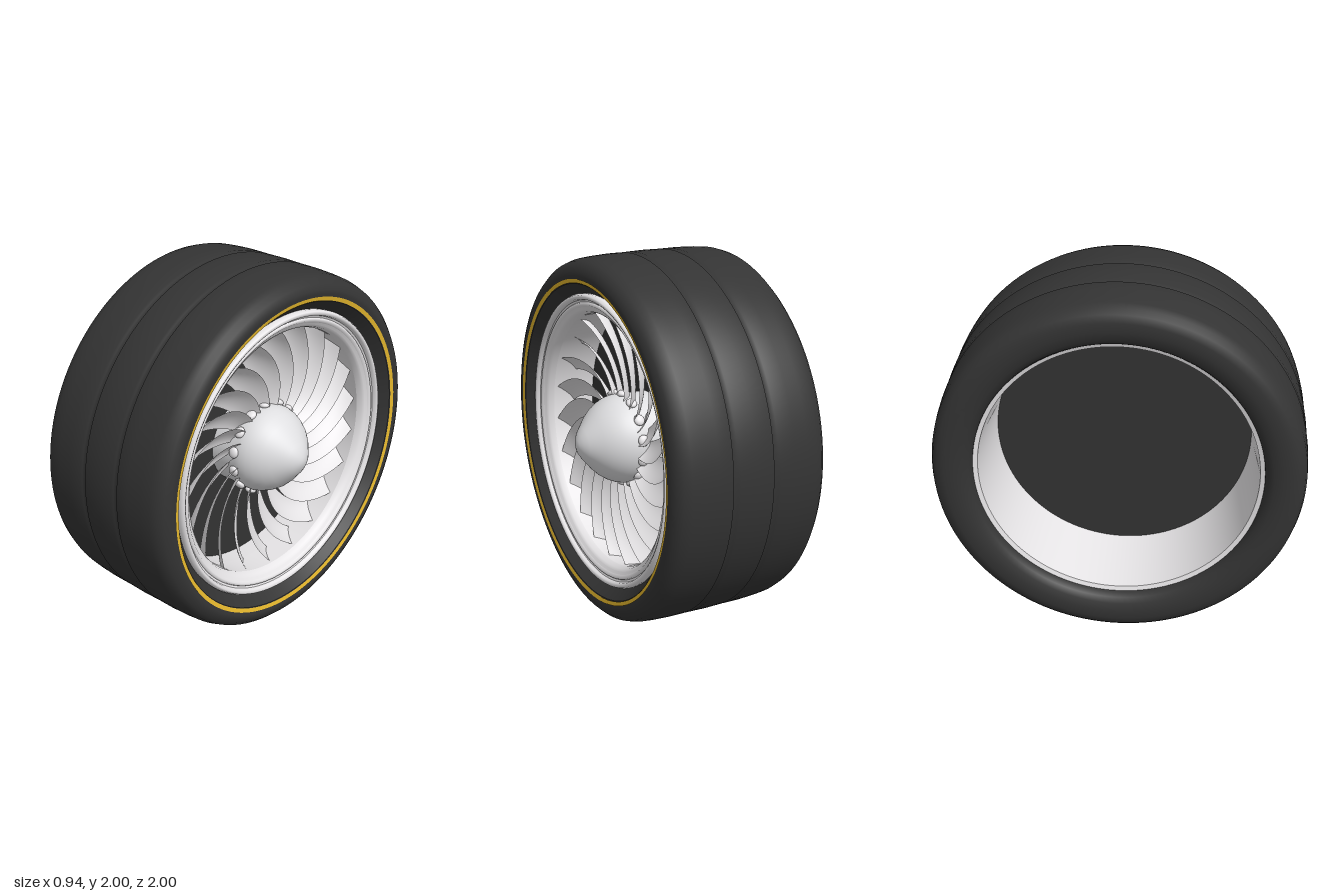
import * as THREE from 'three';

const rubber = new THREE.MeshStandardMaterial({ color: 0x343434 });
rubber.name = 'rubber';
const backing = new THREE.MeshStandardMaterial({ color: 0x333333, side: THREE.DoubleSide });
backing.name = 'dark backing';
const silver = new THREE.MeshStandardMaterial({ color: 0xeeecee, side: THREE.DoubleSide });
silver.name = 'silver';
const hubGrey = new THREE.MeshStandardMaterial({ color: 0xdedee0 });
hubGrey.name = 'hub grey';
const yellow = new THREE.MeshStandardMaterial({ color: 0xf0c030, side: THREE.DoubleSide });
yellow.name = 'yellow';

const BLADES = 22;
const KNOBS = 14;

// Revolves [radius, x] pairs about the x axis; a repeated pair makes a hard edge.
function revolve(name, profile, material) {
  const points = profile.map(([r, x]) => new THREE.Vector2(r, x));
  const geometry = new THREE.LatheGeometry(points, 128);
  geometry.rotateZ(-Math.PI / 2);
  const mesh = new THREE.Mesh(geometry, material);
  mesh.name = name;
  return mesh;
}

// Soft-shaded tread groove centred on x.
function groove(x) {
  return [[0.998, x - 0.02], [0.986, x - 0.015], [0.986, x + 0.015], [0.998, x + 0.02]];
}

// Swept, pitched and cambered blade surface.
function bladeGeometry() {
  const rows = 18, cols = 8;
  const positions = [], index = [];
  for (let i = 0; i <= rows; i++) {
    const s = i / rows;
    const r = 0.22 + 0.475 * s;
    const sweep = 0.46 * Math.pow(s, 1.35);
    const halfWidth = 0.035 + 0.027 * Math.sin(Math.PI * Math.pow(s, 0.85)) + 0.014 * s;
    const pitch = 0.037 + 0.018 * s;
    for (let j = 0; j <= cols; j++) {
      const u = (j / cols) * 2 - 1;
      const angle = sweep + (u * halfWidth) / r;
      const x = 0.185 + 0.03 * Math.pow(s, 1.4) - u * pitch - 0.014 * (1 - u * u);
      positions.push(x, r * Math.sin(angle), -r * Math.cos(angle));
      if (i < rows && j < cols) {
        const a = i * (cols + 1) + j, b = a + cols + 1;
        index.push(a, b, a + 1, a + 1, b, b + 1);
      }
    }
  }
  const geometry = new THREE.BufferGeometry();
  geometry.setAttribute('position', new THREE.Float32BufferAttribute(positions, 3));
  geometry.setIndex(index);
  geometry.computeVertexNormals();
  return geometry;
}

export function createModel() {
  const wheel = new THREE.Group();
  wheel.name = 'wheel';
  wheel.position.y = 1;

  // Tyre with rounded shoulders, two grooves and a recessed outer bead
  wheel.add(revolve('tyre', [
    [0.768, -0.38], [0.771, -0.41], [0.786, -0.438], [0.815, -0.458], [0.86, -0.469], [0.91, -0.468],
    [0.95, -0.455], [0.975, -0.43], [0.988, -0.39], [0.994, -0.33], [0.998, -0.25],
    ...groove(-0.15), [1, -0.035], ...groove(0.083),
    [0.998, 0.18], [0.994, 0.265], [0.988, 0.325], [0.975, 0.365], [0.95, 0.392],
    [0.92, 0.405], [0.9, 0.407], [0.86, 0.398], [0.86, 0.398], [0.83, 0.365],
    [0.8, 0.33], [0.78, 0.31],
  ], rubber));

  // Painted ring on the outer sidewall
  wheel.add(revolve('sidewallStripe', [[0.885, 0.4075], [0.863, 0.4025]], yellow));

  // Stepped outer rim lip
  wheel.add(revolve('rimLip', [
    [0.8, 0.31], [0.803, 0.35], [0.795, 0.367], [0.785, 0.37], [0.773, 0.363],
    [0.768, 0.345], [0.768, 0.345], [0.757, 0.34], [0.757, 0.34], [0.752, 0.348],
    [0.74, 0.348], [0.73, 0.338], [0.73, 0.338], [0.715, 0.328], [0.715, 0.328],
    [0.702, 0.318], [0.692, 0.29], [0.692, 0.29], [0.698, 0.14],
  ], silver));

  // Open barrel with a small inner flange
  wheel.add(revolve('barrel', [
    [0.698, 0.14], [0.705, 0.03], [0.745, -0.39], [0.745, -0.39],
    [0.77, -0.398], [0.77, -0.398], [0.775, -0.38],
  ], silver));

  // Dark plate closing the wheel behind the blades
  wheel.add(revolve('backingDisc', [[0.705, 0.035], [0, 0.035]], backing));

  // Domed spinner on a short hub
  wheel.add(revolve('spinner', [
    [0.24, 0.036], [0.24, 0.17], [0.243, 0.2], [0.242, 0.23], [0.233, 0.265], [0.216, 0.302],
    [0.19, 0.341], [0.155, 0.378], [0.12, 0.407], [0.09, 0.433], [0.06, 0.453],
    [0.03, 0.466], [0.01, 0.47], [0, 0.47],
  ], hubGrey));

  // Ring of fan blades
  const blades = new THREE.Group();
  blades.name = 'fanBlades';
  const geometry = bladeGeometry();
  for (let i = 0; i < BLADES; i++) {
    const blade = new THREE.Mesh(geometry, silver);
    blade.name = 'fanBlade';
    blade.rotation.x = (i / BLADES) * Math.PI * 2;
    blades.add(blade);
  }
  wheel.add(blades);

  // Small knobs around the spinner base
  const knobs = new THREE.Group();
  knobs.name = 'hubKnobs';
  const knobGeometry = new THREE.SphereGeometry(1, 14, 10);
  knobGeometry.scale(0.03, 0.018, 0.032);
  for (let i = 0; i < KNOBS; i++) {
    const angle = (i / KNOBS) * Math.PI * 2;
    const knob = new THREE.Mesh(knobGeometry, silver);
    knob.name = 'hubKnob';
    knob.position.set(0.195, 0.252 * Math.cos(angle), 0.252 * Math.sin(angle));
    knob.rotation.x = angle;
    knobs.add(knob);
  }
  wheel.add(knobs);

  const model = new THREE.Group();
  model.name = 'turbineWheel';
  model.add(wheel);
  return model;
}
